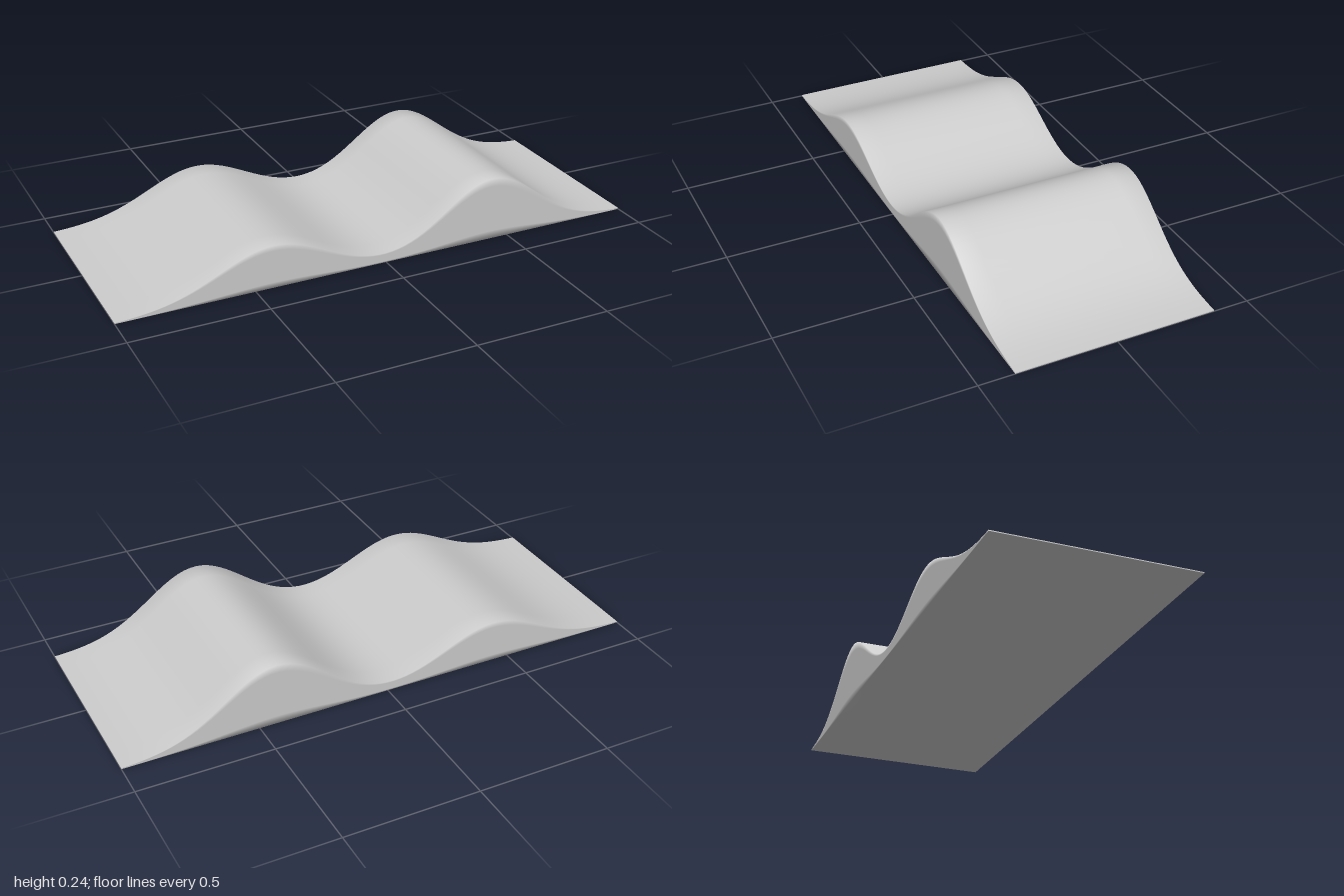
import * as THREE from 'three';
import { mergeVertices } from 'three/addons/utils/BufferGeometryUtils.js';

const LENGTH = 2, WIDTH = 0.74;

// Two bell-shaped humps: centre, height, spread
const HUMPS = [[-0.43, 0.16, 0.2], [0.43, 0.238, 0.193]];

function surfaceHeight(x) {
  return HUMPS.reduce((sum, [c, h, s]) => sum + h * Math.exp(-((x - c) ** 2) / (2 * s * s)), 0.001);
}

export function createModel() {
  const group = new THREE.Group();
  group.name = 'doubleHump';

  // Subdivided block with welded corners, so shading runs softly over its edges
  let geometry = new THREE.BoxGeometry(LENGTH, 1, WIDTH, 80, 8, 9);
  geometry.deleteAttribute('normal');
  geometry.deleteAttribute('uv');
  geometry = mergeVertices(geometry);

  // Stretch every column up to the wave, leaving the underside flat
  const position = geometry.attributes.position;
  for (let i = 0; i < position.count; i++) {
    position.setY(i, (position.getY(i) + 0.5) * surfaceHeight(position.getX(i)));
  }
  geometry.computeVertexNormals();

  const block = new THREE.Mesh(geometry, new THREE.MeshStandardMaterial({ color: 0xcccccc }));
  block.name = 'wavyBlock';
  group.add(block);
  return group;
}
